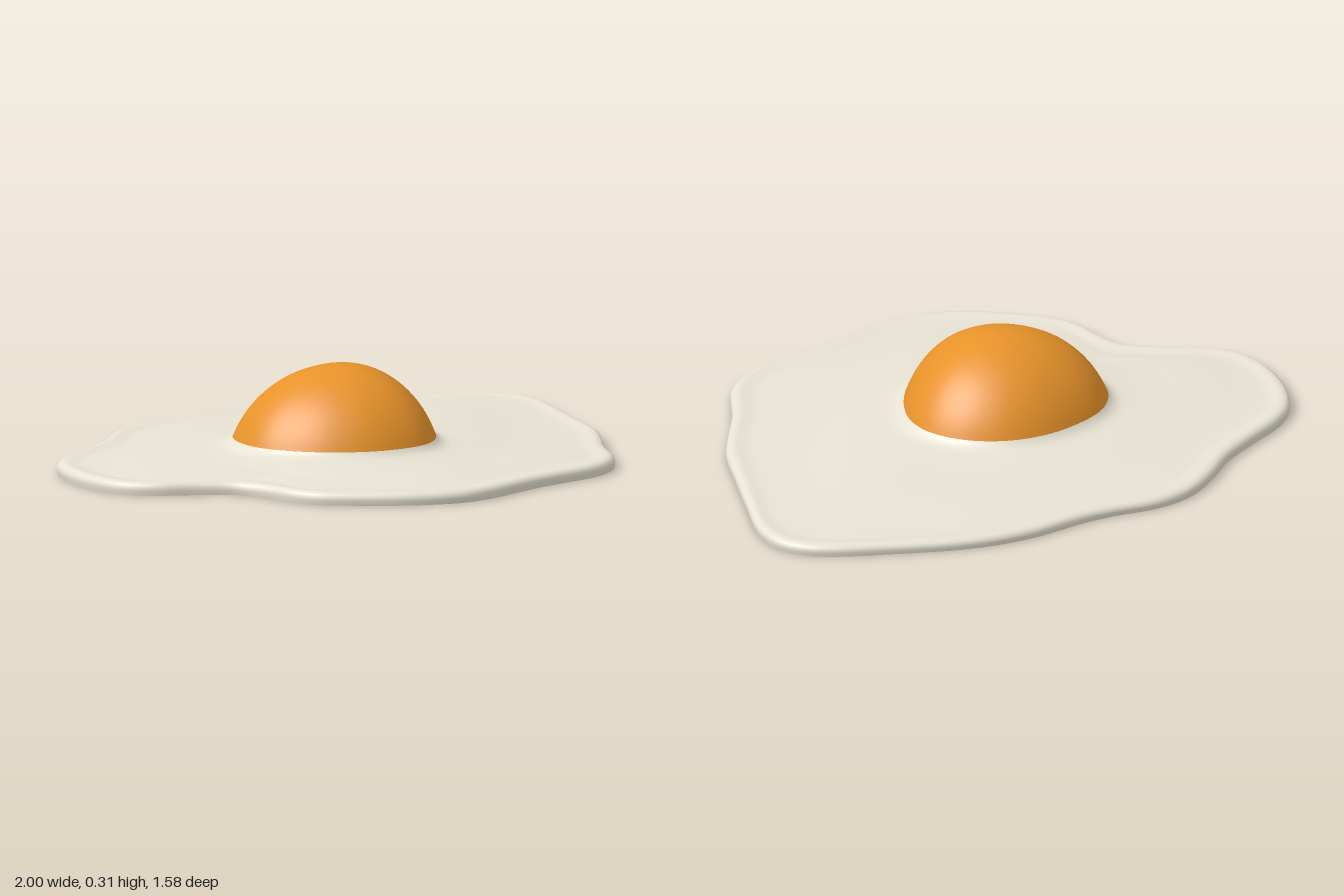
import * as THREE from 'three';

const CX = -0.15, CZ = 0.01; // centre of the yolk
const N = 200;               // points around each ring

// Outlines as x, z pairs
const WHITE = [
  1, -0.17, 0.97, -0.06, 0.86, 0.1, 0.75, 0.25, 0.63, 0.41, 0.53, 0.5, 0.41, 0.6, 0.28, 0.73,
  0.19, 0.775, 0.09, 0.79, 0, 0.78, -0.12, 0.765, -0.25, 0.76, -0.38, 0.76, -0.5, 0.735,
  -0.62, 0.65, -0.72, 0.53, -0.8, 0.39, -0.81, 0.31, -0.795, 0.2, -0.8, 0.1, -0.87, 0,
  -0.96, -0.1, -1, -0.2, -0.98, -0.33, -0.91, -0.47, -0.82, -0.57, -0.72, -0.62,
  -0.56, -0.655, -0.43, -0.69, -0.3, -0.75, -0.2, -0.785, -0.12, -0.795, -0.02, -0.78,
  0.1, -0.73, 0.2, -0.7, 0.38, -0.67, 0.5, -0.63, 0.62, -0.565, 0.8, -0.43, 0.93, -0.32, 0.98, -0.25,
];
const YOLK = [
  0.18, -0.02, 0.16, 0.08, 0.1, 0.17, 0, 0.26, -0.08, 0.305, -0.16, 0.32, -0.26, 0.3,
  -0.35, 0.25, -0.44, 0.14, -0.483, 0, -0.47, -0.1, -0.4, -0.21, -0.3, -0.275,
  -0.17, -0.295, -0.04, -0.28, 0.07, -0.225, 0.15, -0.13,
];

// Radius of a smooth closed outline at N equal angles about the yolk centre
function radii(flat) {
  const pts = [];
  for (let i = 0; i < flat.length; i += 2) pts.push(new THREE.Vector3(flat[i] - CX, 0, flat[i + 1] - CZ));
  const dense = new THREE.CatmullRomCurve3(pts, true).getPoints(1000);
  return Array.from({ length: N }, (_, i) => {
    const a = (i / N) * Math.PI * 2, c = Math.cos(a), s = Math.sin(a);
    for (let k = 0; k < dense.length - 1; k++) {
      const p = dense[k], q = dense[k + 1];
      const u = p.z * c - p.x * s, v = q.z * c - q.x * s;
      if (u <= 0 && v > 0 && p.x * c + p.z * s > 0) {
        const m = p.clone().lerp(q, u / (u - v));
        return Math.hypot(m.x, m.z);
      }
    }
    return dense[0].length();
  });
}

// Smooth skin over rings running from the inside out; each ring gives [radius, height]
function skin(rings) {
  const pos = [], index = [];
  rings.forEach((ring, j) => {
    for (let i = 0; i < N; i++) {
      const a = (i / N) * Math.PI * 2, [r, y] = ring(i);
      pos.push(CX + r * Math.cos(a), y, CZ + r * Math.sin(a));
      if (j === 0) continue;
      const n = (i + 1) % N, A = (j - 1) * N + i, B = (j - 1) * N + n, C = j * N + i, D = j * N + n;
      index.push(A, B, C, B, D, C);
    }
  });
  const g = new THREE.BufferGeometry();
  g.setAttribute('position', new THREE.Float32BufferAttribute(pos, 3));
  g.setIndex(index);
  g.computeVertexNormals();
  return g;
}

export function createModel() {
  const group = new THREE.Group();
  const whiteMat = new THREE.MeshStandardMaterial({ name: 'egg white', color: 0xeee9d9 });
  const yolkMat = new THREE.MeshStandardMaterial({ name: 'yolk orange', color: 0xe8932a });
  const ry = radii(YOLK), ro = radii(WHITE);
  const add = (name, geometry, material) => {
    const mesh = new THREE.Mesh(geometry, material);
    mesh.name = name;
    group.add(mesh);
  };

  // Gentle ripples and a slightly lower back right edge
  const ripple = (i, t) => {
    const a = (i / N) * Math.PI * 2;
    return Math.sin(Math.PI * t) * 0.003 * Math.sin(3 * a + 5 * t) - 0.005 * t * Math.max(0, Math.cos(a + 0.9));
  };

  // Egg white: skirt round the yolk, sloping sheet, raised rounded rim
  const rings = [];
  for (const [d, y] of [[0, 0.086], [0.006, 0.079], [0.016, 0.071], [0.03, 0.065], [0.05, 0.061]])
    rings.push((i) => [ry[i] + d, y]);
  for (let k = 1; k <= 10; k++) {
    const t = k / 10;
    rings.push((i) => [
      THREE.MathUtils.lerp(ry[i] + 0.05, ro[i] - 0.08, t),
      THREE.MathUtils.lerp(0.061, 0.035, t) + ripple(i, t),
    ]);
  }
  for (const [d, y] of [[0.06, 0.036], [0.04, 0.039], [0.025, 0.04], [0.013, 0.037], [0.005, 0.031], [0.001, 0.023], [0, 0.014], [0.003, 0]])
    rings.push((i) => [ro[i] - d, y + ripple(i, 1) * (y / 0.04)]);
  add('eggWhite', skin(rings), whiteMat);

  // Flat underside
  add('underside', skin([(i) => [ro[i] - 0.003, 0], () => [0, 0]]), whiteMat);

  // Yolk: spherical cap stretched to its outline
  const R = 0.343, edge = Math.acos((R - 0.22) / R);
  const cap = [];
  for (let k = 0; k <= 24; k++) {
    const a = (edge * k) / 24;
    cap.push((i) => [(ry[i] * Math.sin(a)) / Math.sin(edge), 0.305 - R * (1 - Math.cos(a))]);
  }
  add('yolk', skin(cap), yolkMat);
  return group;
}
